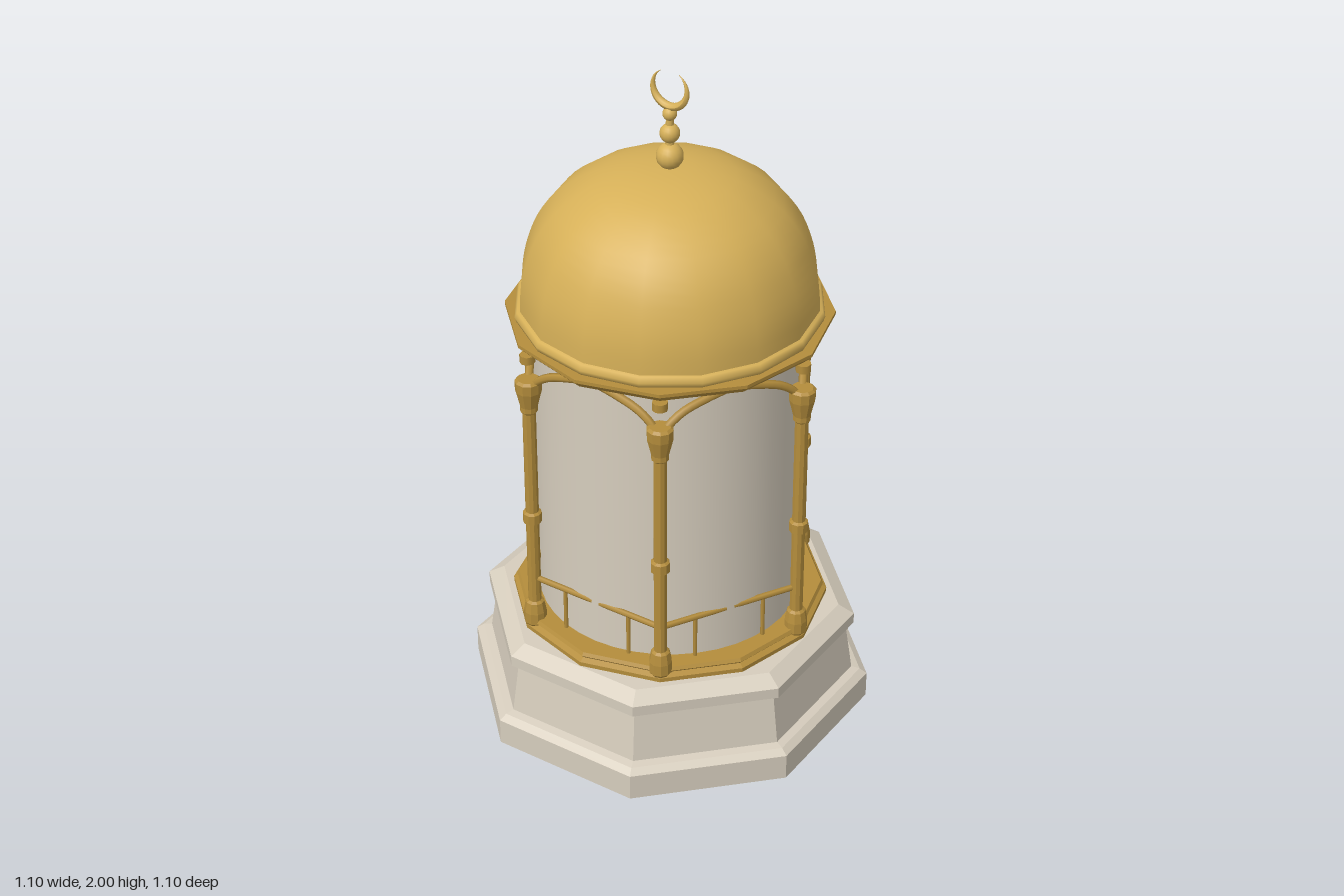
import * as THREE from 'three';

const V = (x, y, z) => new THREE.Vector3(x, y, z);

export function createModel() {
  const model = new THREE.Group();
  model.name = 'domedPavilion';

  const make = (name, color) => {
    const m = new THREE.MeshStandardMaterial({ color });
    m.name = name;
    return m;
  };
  const stone = make('paleStone', 0xd6cdbd);
  const gold = make('domeGold', 0xd6b058);
  const bronze = make('darkGold', 0xb48d3c);

  const add = (parent, name, geo, mat) => {
    const mesh = new THREE.Mesh(geo, mat);
    mesh.name = name;
    parent.add(mesh);
    return mesh;
  };
  const flat = (geo) => {
    const g = geo.toNonIndexed();
    g.computeVertexNormals();
    return g;
  };
  // profile is listed bottom to top as [radius, height]
  const lathe = (pts, sides, start = 0) =>
    new THREE.LatheGeometry(pts.map(([r, y]) => new THREE.Vector2(r, y)), sides, start);
  // straight round bar between two points
  const bar = (a, b, r) => new THREE.TubeGeometry(new THREE.LineCurve3(a, b), 1, r, 6);

  // octagonal plinth, radii given to the flat sides
  const oct = [[0, 0], [0.55, 0], [0.55, 0.08], [0.53, 0.095], [0.507, 0.1], [0.487, 0.245],
    [0.49, 0.255], [0.508, 0.262], [0.508, 0.295], [0.465, 0.322], [0, 0.322]]
    .map(([r, y]) => [r / Math.cos(Math.PI / 8), y]);
  add(model, 'plinth', flat(lathe(oct, 8, Math.PI / 8)), stone);

  // round inner drum
  const drum = add(model, 'drum', new THREE.CylinderGeometry(0.383, 0.383, 0.93, 40, 1, true), stone);
  drum.position.y = 0.785;

  // twelve-sided base ring and cornice
  add(model, 'baseRing', flat(lathe([[0.37, 0.32], [0.462, 0.32], [0.462, 0.335], [0.446, 0.343],
    [0.452, 0.35], [0.446, 0.36], [0.37, 0.36]], 12)), bronze);
  add(model, 'cornice', flat(lathe([[0, 1.242], [0.425, 1.242], [0.438, 1.25], [0.46, 1.272],
    [0.46, 1.282], [0.4, 1.284]], 12)), bronze);

  // dome with its rim moulding
  add(model, 'domeRim', lathe([[0.4, 1.28], [0.43, 1.282], [0.435, 1.297], [0.428, 1.312],
    [0.4, 1.318]], 16), gold);
  const domeCurve = new THREE.SplineCurve([[0.42, 1.3], [0.416, 1.38], [0.399, 1.46], [0.364, 1.545],
    [0.305, 1.62], [0.21, 1.684], [0.1, 1.716], [0, 1.723]].map(([r, y]) => new THREE.Vector2(r, y)));
  const domePts = domeCurve.getPoints(20).map((p) => [Math.max(p.x, 0), p.y]);
  add(model, 'dome', lathe(domePts, 16), gold);

  // finial: stacked balls under a crescent
  const finial = new THREE.Group();
  finial.name = 'finial';
  model.add(finial);
  for (const [r, y] of [[0.038, 1.752], [0.028, 1.82], [0.02, 1.878]]) {
    add(finial, 'finialBall', new THREE.SphereGeometry(r, 16, 12), gold).position.y = y;
  }
  add(finial, 'finialStem', new THREE.CylinderGeometry(0.01, 0.014, 0.18, 8), gold).position.y = 1.81;

  class Arc extends THREE.Curve {
    getPoint(t, target = V(0, 0, 0)) {
      const a = THREE.MathUtils.degToRad(58 - 296 * t);
      return target.set(0.054 * Math.cos(a), 1.953 + 0.054 * Math.sin(a), 0);
    }
  }
  const arc = new Arc();
  const crescent = new THREE.TubeGeometry(arc, 40, 0.012, 8);
  const pos = crescent.attributes.position;
  for (let i = 0; i < pos.count; i++) {
    const t = Math.floor(i / 9) / 40;
    const centre = arc.getPointAt(t);
    const v = V(0, 0, 0).fromBufferAttribute(pos, i).sub(centre);
    v.multiplyScalar(Math.max(0.06, Math.sin(Math.PI * t))).add(centre);
    pos.setXYZ(i, v.x, v.y, v.z);
  }
  crescent.computeVertexNormals();
  add(finial, 'crescent', crescent, gold);

  // six bays: a column, an arch to the next column and a railing
  const R = 0.434;
  const column = lathe([[0.026, 0.335], [0.033, 0.345], [0.033, 0.38], [0.027, 0.412], [0.019, 0.418],
    [0.019, 0.688], [0.027, 0.692], [0.027, 0.722], [0.019, 0.727], [0.019, 1.058], [0.025, 1.064],
    [0.025, 1.08], [0.037, 1.13], [0.038, 1.16], [0.03, 1.167], [0, 1.167]], 10);
  for (let i = 0; i < 6; i++) {
    const bay = new THREE.Group();
    bay.name = 'bay';
    bay.rotation.y = (i * Math.PI) / 3;
    model.add(bay);

    // bay faces +z, its columns stand at each end of a straight chord
    const half = R / 2;
    const z = R * Math.cos(Math.PI / 6);
    add(bay, 'column', flat(column), bronze).position.set(half, 0, z);
    const block = add(bay, 'columnBlock', new THREE.CylinderGeometry(0.022, 0.022, 0.024, 8), bronze);
    block.position.set(half, 1.233, z);

    for (const s of [-1, 1]) {
      const rib = new THREE.CatmullRomCurve3([V(s * half, 1.12, z), V(s * 0.195, 1.158, z),
        V(s * 0.15, 1.192, z), V(s * 0.08, 1.215, z), V(0, 1.232, z)]);
      add(bay, 'archRib', new THREE.TubeGeometry(rib, 12, 0.012, 6), bronze);
      add(bay, 'handrail', bar(V(s * half, 0.495, z), V(s * 0.012, 0.495, z), 0.009), bronze);
      add(bay, 'railPost', bar(V(s * 0.108, 0.35, z), V(s * 0.108, 0.495, z), 0.006), bronze);
    }
  }
  return model;
}
